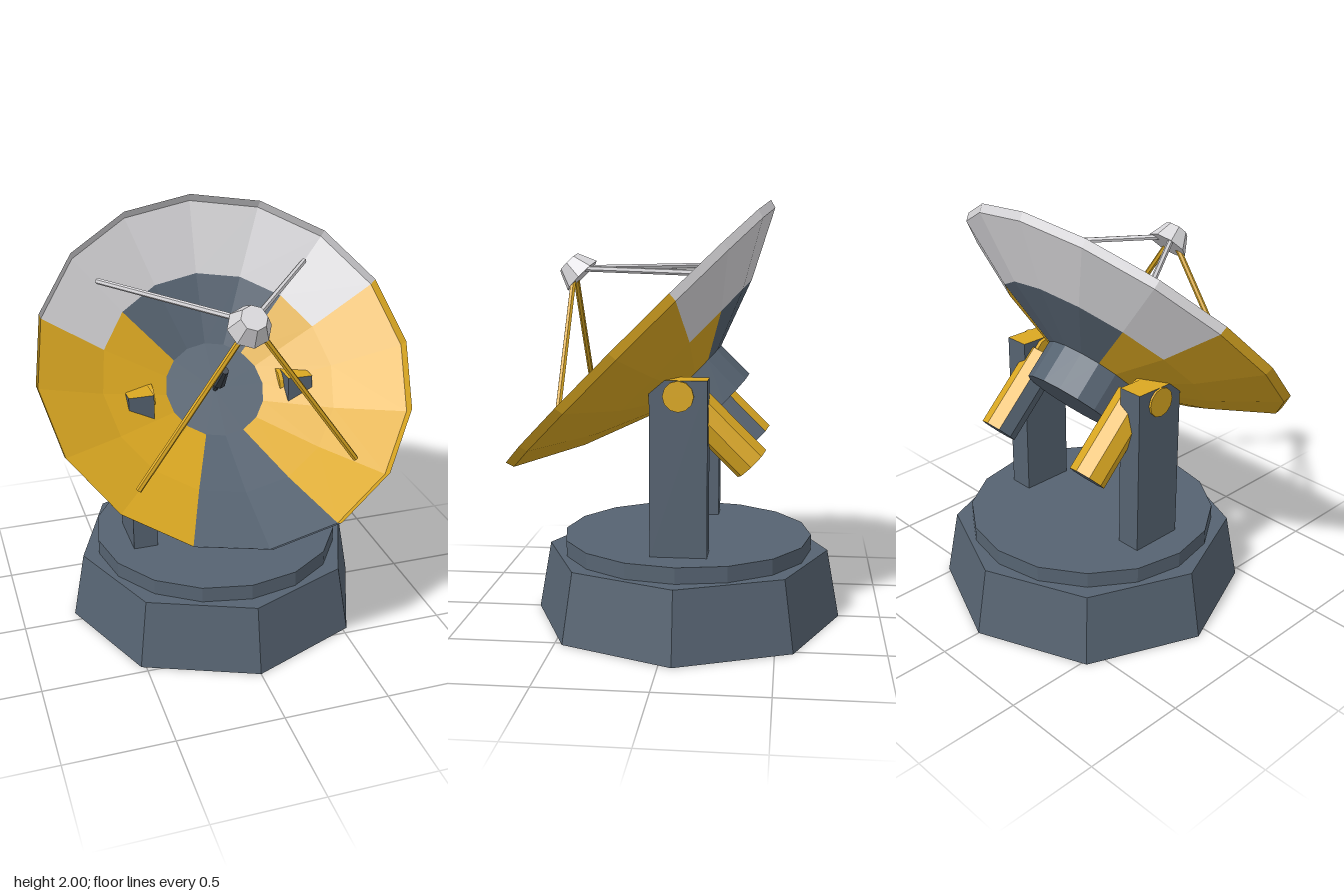
import * as THREE from 'three';

const steel = new THREE.MeshStandardMaterial({ color: 0x566371, side: THREE.DoubleSide });
steel.name = 'slate grey';
const yellow = new THREE.MeshStandardMaterial({ color: 0xdba822, side: THREE.DoubleSide });
yellow.name = 'warning yellow';
const white = new THREE.MeshStandardMaterial({ color: 0xd8d7da, side: THREE.DoubleSide });
white.name = 'pale grey';
const dark = new THREE.MeshStandardMaterial({ color: 0x3e454d });
dark.name = 'dark grey';

// Faceted mesh: every face gets its own normal
function part(parent, name, geometry, material, x = 0, y = 0, z = 0) {
  const geo = geometry.index ? geometry.toNonIndexed() : geometry;
  geo.computeVertexNormals();
  const mesh = new THREE.Mesh(geo, material);
  mesh.name = name;
  mesh.position.set(x, y, z);
  parent.add(mesh);
  return mesh;
}

// Straight rod between two points
function rod(parent, name, a, b, radius, material) {
  const dir = b.clone().sub(a);
  const mesh = part(parent, name, new THREE.CylinderGeometry(radius, radius, dir.length(), 6), material);
  mesh.position.copy(a).add(b).multiplyScalar(0.5);
  mesh.quaternion.setFromUnitVectors(new THREE.Vector3(0, 1, 0), dir.normalize());
}

export function createModel() {
  const model = new THREE.Group();
  model.name = 'dishAntenna';
  const backZ = -0.06;

  // Plinth and turntable
  part(model, 'plinth', new THREE.CylinderGeometry(0.68, 0.74, 0.33, 8), steel, 0, 0.165, backZ);
  part(model, 'turntable', new THREE.CylinderGeometry(0.6, 0.6, 0.075, 16), steel, 0, 0.3675, backZ);

  // Support towers with yellow tops and pivot pins
  for (const s of [-1, 1]) {
    const side = s > 0 ? 'left' : 'right';
    part(model, side + 'Tower', new THREE.BoxGeometry(0.12, 0.805, 0.26),
      [steel, steel, yellow, steel, steel, steel], s * 0.39, 0.8075, backZ);
    const pin = part(model, side + 'Pivot', new THREE.CylinderGeometry(0.07, 0.07, 0.15, 12), yellow, s * 0.385, 1.14, backZ);
    pin.rotation.z = Math.PI / 2;
  }

  // Tilted head: local +y is the dish axis, local +z points down the dish
  const head = new THREE.Group();
  head.name = 'dishHead';
  head.position.set(0, 1.376, 0.1765);
  head.rotation.x = Math.PI / 4;
  model.add(head);

  // Dish panels: sixteen sectors, sector 0 starts at the lowest point
  const step = Math.PI / 8;
  const profile = [[0.24, -0.32], [0.56, -0.2], [0.868, -0.04], [0.88, 0]].map((p) => new THREE.Vector2(...p));
  const inner = profile.slice(0, 2);
  const outer = profile.slice(1);
  const panels = [
    ['lowerPanel', profile, -1, 2, steel],
    ['leftOuterPanel', outer, 1, 4, yellow],
    ['rightOuterPanel', outer, -5, 4, yellow],
    ['upperOuterPanel', outer, 5, 6, white],
    ['leftInnerPanel', inner, 1, 5, yellow],
    ['rightInnerPanel', inner, -6, 5, yellow],
    ['upperInnerPanel', inner, 6, 4, steel],
  ];
  for (const [name, points, start, count, material] of panels) {
    part(head, name, new THREE.LatheGeometry(points, count, start * step, count * step), material);
  }

  // Hub behind the dish and horn at its centre
  part(head, 'hub', new THREE.CylinderGeometry(0.24, 0.24, 0.19, 16), steel, 0, -0.415, 0);
  part(head, 'hornStem', new THREE.CylinderGeometry(0.012, 0.012, 0.1, 6), dark, 0, -0.27, 0);
  part(head, 'horn', new THREE.CylinderGeometry(0.018, 0.034, 0.14, 8), dark, 0, -0.165, 0);

  // Receiver held by four struts
  part(head, 'receiver', new THREE.CylinderGeometry(0.06, 0.1, 0.09, 8), white, 0, 0.425, 0);
  const apex = new THREE.Vector3(0, 0.43, 0);
  for (const sx of [-1, 1]) {
    for (const sz of [-1, 1]) {
      const foot = new THREE.Vector3(sx * 0.51, -0.08, sz * 0.51);
      rod(head, sz > 0 ? 'lowerStrut' : 'upperStrut', foot, apex, 0.014, sz > 0 ? yellow : white);
    }
  }

  // Counterweights: yellow outside, grey inside and on the ends
  const eighth = Math.PI / 4;
  for (const s of [-1, 1]) {
    const weight = new THREE.Group();
    weight.name = s > 0 ? 'leftCounterweight' : 'rightCounterweight';
    weight.position.set(s * 0.315, -0.575, 0);
    head.add(weight);
    const sleeve = (n, start) =>
      new THREE.CylinderGeometry(0.09, 0.09, 0.43, n, 1, true, start * eighth, n * eighth);
    part(weight, 'outerShell', sleeve(5, s > 0 ? 0 : -5), yellow);
    part(weight, 'innerShell', sleeve(3, s > 0 ? 5 : 0), steel);
    for (const e of [-1, 1]) {
      part(weight, 'endCap', new THREE.CircleGeometry(0.09, 8), steel, 0, e * 0.215, 0).rotation.x = -e * Math.PI / 2;
    }
  }

  return model;
}
